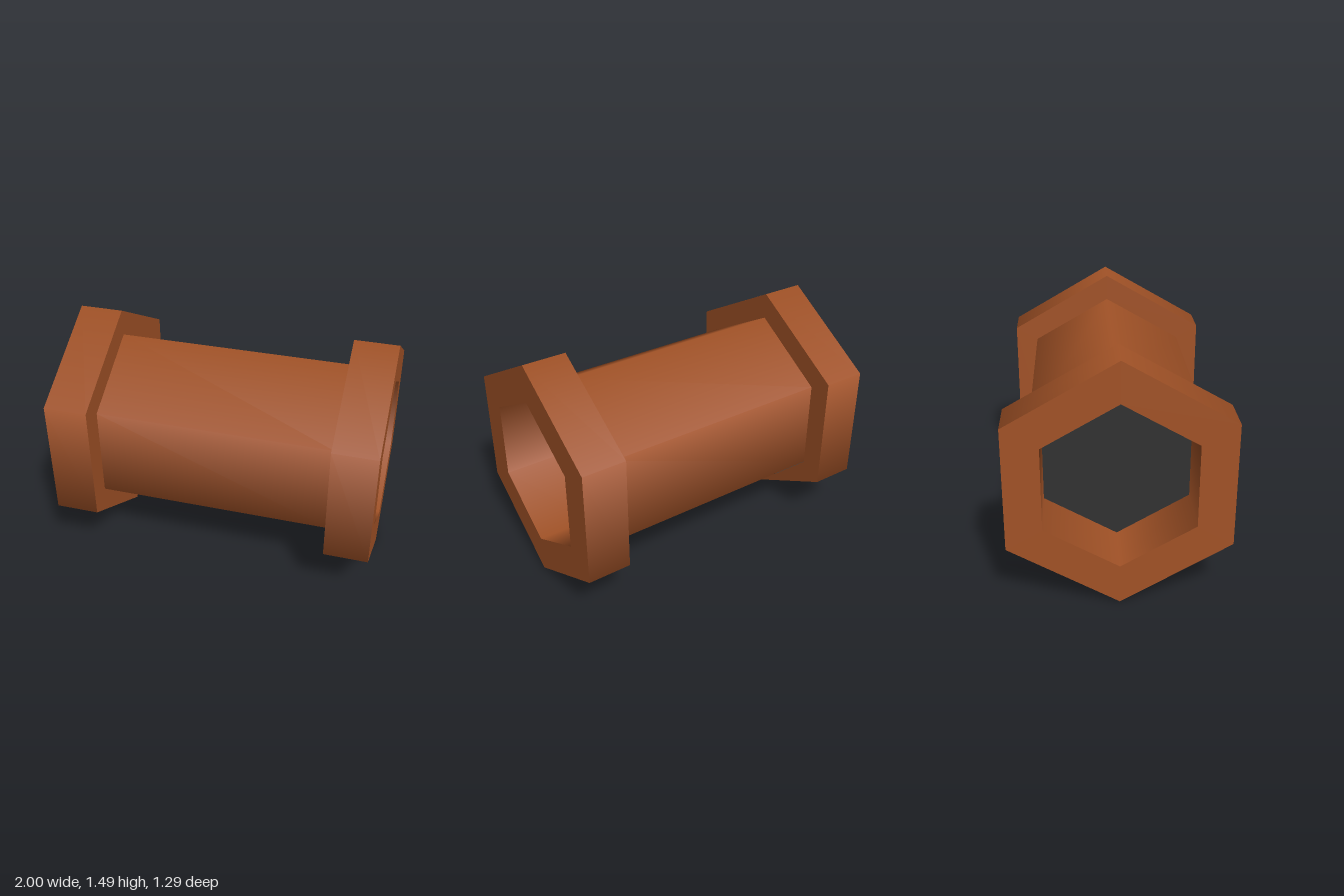
import * as THREE from 'three';

const CY = 0.747;          // height of the axis
const FLANGE_R = 0.745, TUBE_R = 0.578, BORE_R = 0.503;
const END = 1, STEP = 0.73, CAP = 0.635;

// Six-sided sleeve along x with smooth normals and corners pointing up and down
function sleeve(radius, x0, x1, inward = false) {
  const g = new THREE.CylinderGeometry(radius, radius, x1 - x0, 6, 1, true, Math.PI / 2);
  g.rotateZ(Math.PI / 2).translate((x0 + x1) / 2, 0, 0);
  if (inward) {
    g.scale(1, 1, -1);
    const n = g.attributes.normal;
    for (let i = 0; i < n.count; i++) n.setXYZ(i, -n.getX(i), -n.getY(i), -n.getZ(i));
  }
  return g;
}

// Flat six-sided face at x, facing +x or -x
function face(inner, outer, x, dir) {
  const g = inner > 0
    ? new THREE.RingGeometry(inner, outer, 6, 1, Math.PI / 2)
    : new THREE.CircleGeometry(outer, 6, Math.PI / 2);
  return g.rotateY(dir * Math.PI / 2).translate(x, 0, 0);
}

export function createModel() {
  const copper = new THREE.MeshStandardMaterial({ color: 0xa35327 });
  copper.name = 'copper brown';
  const dark = new THREE.MeshStandardMaterial({ color: 0x323232 });
  dark.name = 'dark grey';

  const model = new THREE.Group();
  model.name = 'hexPipe';
  model.position.y = CY;
  const add = (parent, name, geometry, material) => {
    const mesh = new THREE.Mesh(geometry, material);
    mesh.name = name;
    parent.add(mesh);
    return mesh;
  };

  add(model, 'tube', sleeve(TUBE_R, -STEP, STEP), copper);

  // Matching flange, bore and dark plug at each end
  for (const s of [1, -1]) {
    const end = new THREE.Group();
    end.name = s > 0 ? 'leftEnd' : 'rightEnd';
    const span = (a, b) => [Math.min(s * a, s * b), Math.max(s * a, s * b)];
    add(end, 'flangeRim', sleeve(FLANGE_R, ...span(STEP, END)), copper);
    add(end, 'flangeFace', face(BORE_R, FLANGE_R, s * END, s), copper);
    add(end, 'flangeShoulder', face(TUBE_R, FLANGE_R, s * STEP, -s), copper);
    add(end, 'bore', sleeve(BORE_R, ...span(CAP, END), true), copper);
    add(end, 'plug', face(0, BORE_R, s * CAP, s), dark);
    model.add(end);
  }

  // Thin dark patch on the lower back facet, beside one flange
  const width = 0.25, height = TUBE_R * 0.74;
  const patch = add(model, 'patch', new THREE.BoxGeometry(width, height, 0.004), dark);
  const top = new THREE.Vector3(0, -TUBE_R / 2, -TUBE_R * Math.sqrt(3) / 2);
  const bottom = new THREE.Vector3(0, -TUBE_R, 0);
  patch.position.lerpVectors(top, bottom, 0.37);
  patch.position.x = -STEP + width / 2;
  patch.rotation.x = Math.PI / 3;
  const along = new THREE.Vector3(0, 1, 0).applyEuler(patch.rotation);
  if (Math.abs(along.dot(bottom.clone().sub(top).normalize())) < 0.99) patch.rotation.x = -Math.PI / 3;

  return model;
}
